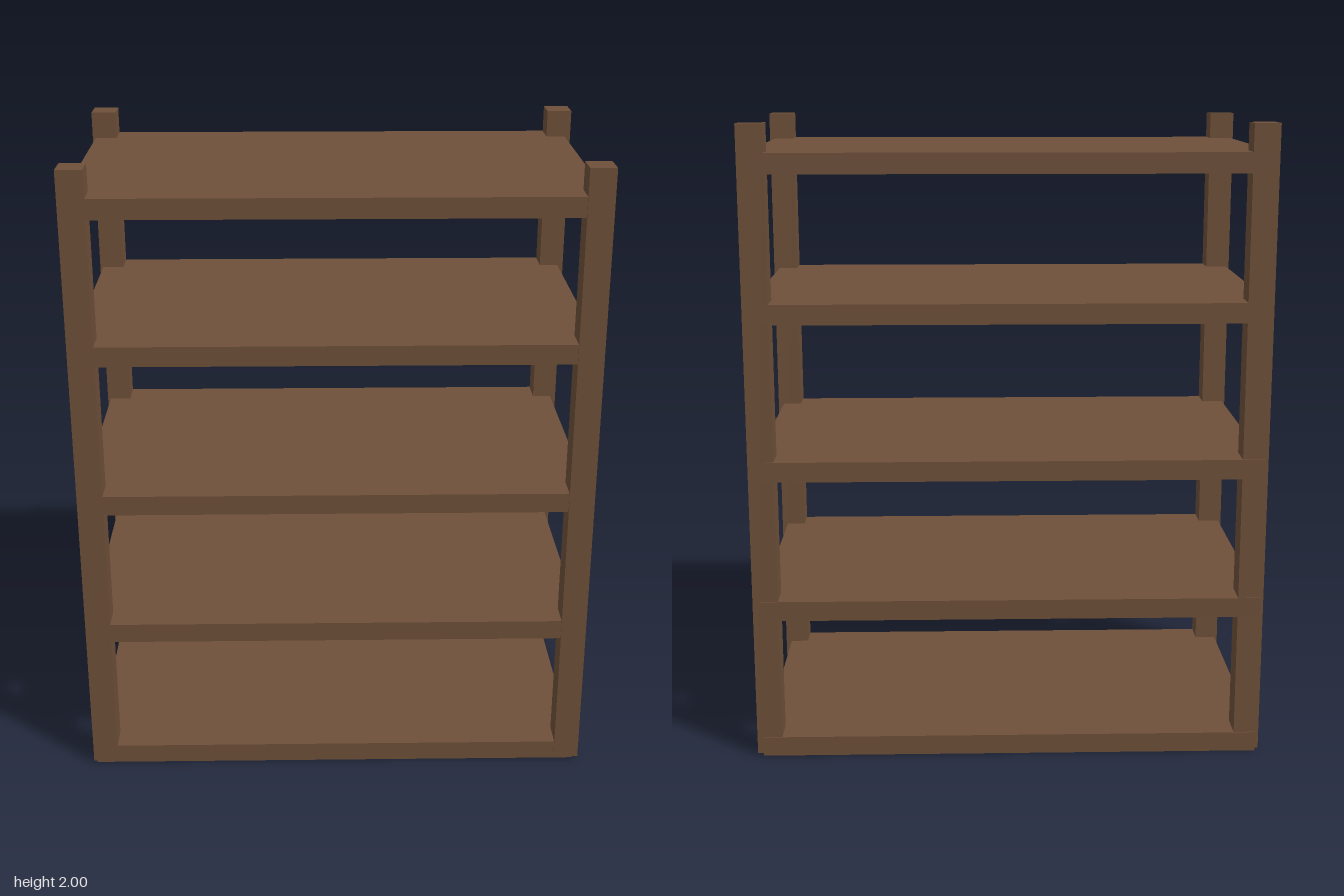
import * as THREE from 'three';

export function createModel() {
  const group = new THREE.Group();
  group.name = 'shelfRack';
  const wood = new THREE.MeshStandardMaterial({ color: 0x6e5039 });
  wood.name = 'brown wood';

  // Box given by its extents along each axis
  function addBox(name, [x0, x1], [y0, y1], [z0, z1]) {
    const mesh = new THREE.Mesh(new THREE.BoxGeometry(x1 - x0, y1 - y0, z1 - z0), wood);
    mesh.name = name;
    mesh.position.set((x0 + x1) / 2, (y0 + y1) / 2, (z0 + z1) / 2);
    group.add(mesh);
  }

  // Four corner posts, raised slightly off the floor
  const sides = { Right: [-0.807, -0.727], Left: [0.727, 0.807] };
  const depths = { front: [0.383, 0.473], back: [-0.469, -0.379] };
  for (const [side, x] of Object.entries(sides)) {
    for (const [depth, z] of Object.entries(depths)) {
      addBox(`${depth}${side}Post`, x, [0.008, 2], z);
    }
  }

  // Five shelf boards, reaching just past the posts at the back
  [0, 0.457, 0.909, 1.4, 1.852].forEach((y, i) => {
    addBox(`shelf${i + 1}`, [-0.797, 0.788], [y, y + 0.063], [-0.473, 0.469]);
  });

  return group;
}
